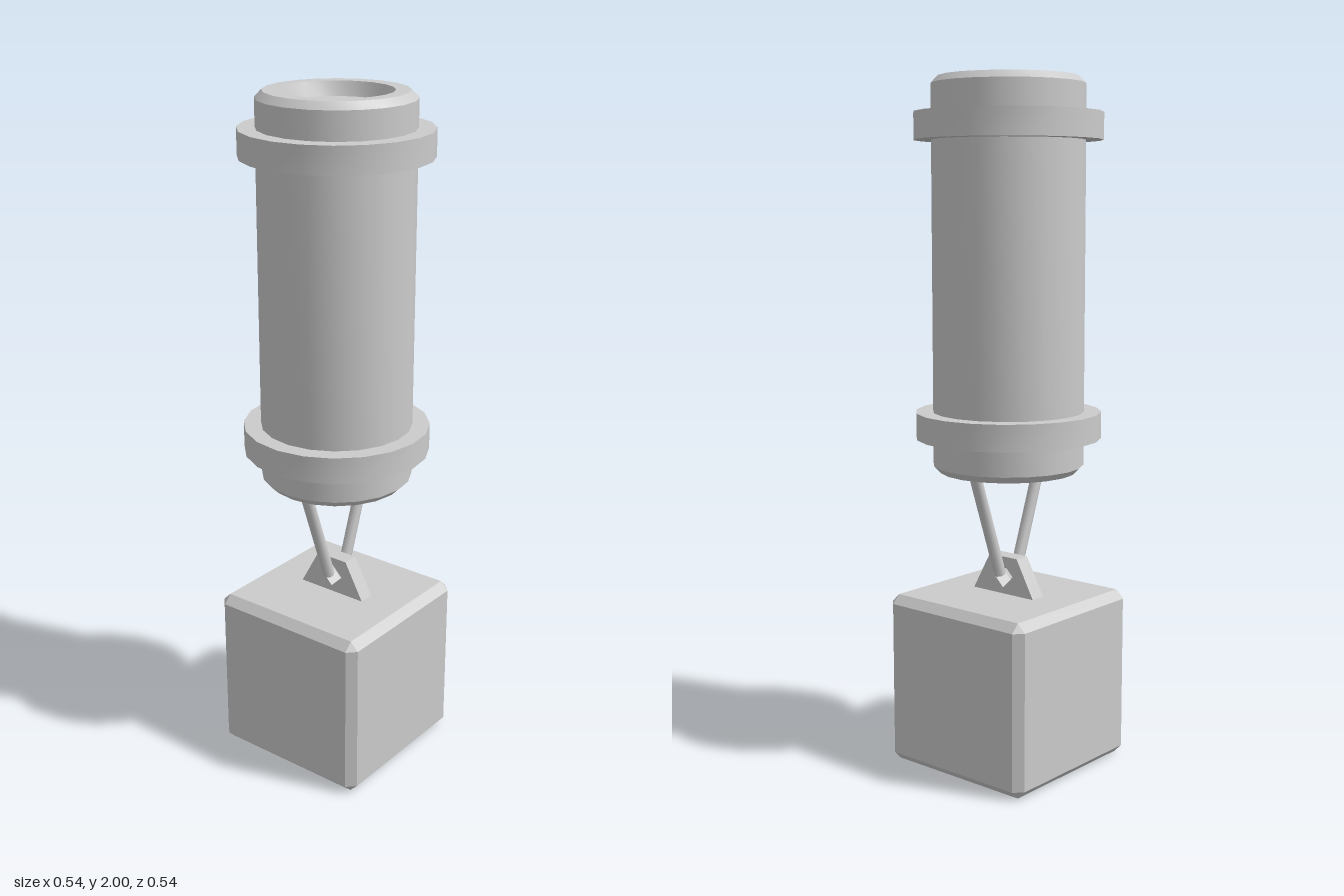
import * as THREE from 'three';
import { toCreasedNormals } from 'three/addons/utils/BufferGeometryUtils.js';
import { ConvexGeometry } from 'three/addons/geometries/ConvexGeometry.js';

const SIDES = 20;
const grey = new THREE.MeshStandardMaterial({ color: 0xcccccc });

function part(name, geometry, parent) {
  const mesh = new THREE.Mesh(geometry, grey);
  mesh.name = name;
  parent.add(mesh);
  return mesh;
}

// Cube with every edge and corner cut at 45 degrees
function chamferedCube(half, cut) {
  const inner = half - cut, points = [];
  for (const x of [-1, 1]) for (const y of [-1, 1]) for (const z of [-1, 1]) {
    points.push(
      new THREE.Vector3(x * half, y * inner, z * inner),
      new THREE.Vector3(x * inner, y * half, z * inner),
      new THREE.Vector3(x * inner, y * inner, z * half));
  }
  return new ConvexGeometry(points);
}

// Rod running between two points
function rod(name, from, to, radius, parent) {
  const dir = to.clone().sub(from);
  const geometry = toCreasedNormals(new THREE.CylinderGeometry(radius, radius, dir.length(), 8), 0.9);
  const mesh = part(name, geometry, parent);
  mesh.position.copy(from).add(to).multiplyScalar(0.5);
  mesh.quaternion.setFromUnitVectors(new THREE.Vector3(0, 1, 0), dir.normalize());
}

export function createModel() {
  const model = new THREE.Group();
  model.name = 'hangingWeight';

  // Cylinder body with chamfered rims and a shallow recess at each end
  const profile = [
    [0, 0.915], [0.143, 0.915], [0.158, 0.875], [0.2, 0.875], [0.22, 0.895],
    [0.22, 1.98], [0.2, 2], [0.158, 2], [0.143, 1.96], [0, 1.96],
  ].map(([r, y]) => new THREE.Vector2(r, y));
  part('cylinderBody', toCreasedNormals(new THREE.LatheGeometry(profile, SIDES), 0.5), model);

  // Raised bands
  for (const [name, y] of [['lowerBand', 1.013], ['upperBand', 1.863]]) {
    const band = toCreasedNormals(new THREE.CylinderGeometry(0.27, 0.27, 0.077, SIDES), 0.5);
    part(name, band, model).position.y = y;
  }

  // Two rods converging on the lug
  for (const [name, s] of [['leftRod', 1], ['rightRod', -1]]) {
    rod(name, new THREE.Vector3(s * 0.037, 0.57, 0), new THREE.Vector3(s * 0.157, 0.91, 0), 0.0175, model);
  }

  // Tapered lug with a diamond eye
  const outline = new THREE.Shape([[-0.118, 0.5], [0.118, 0.5], [0.052, 0.62], [-0.052, 0.62]]
    .map(([x, y]) => new THREE.Vector2(x, y)));
  outline.holes.push(new THREE.Path([[0, 0.526], [-0.037, 0.563], [0, 0.6], [0.037, 0.563]]
    .map(([x, y]) => new THREE.Vector2(x, y))));
  const lug = new THREE.ExtrudeGeometry(outline, { depth: 0.048, bevelEnabled: false });
  lug.translate(0, 0, -0.024).rotateY(Math.PI / 2);
  part('lug', lug, model);

  // Weight block
  part('weightBlock', chamferedCube(0.254, 0.025), model).position.y = 0.254;

  return model;
}
